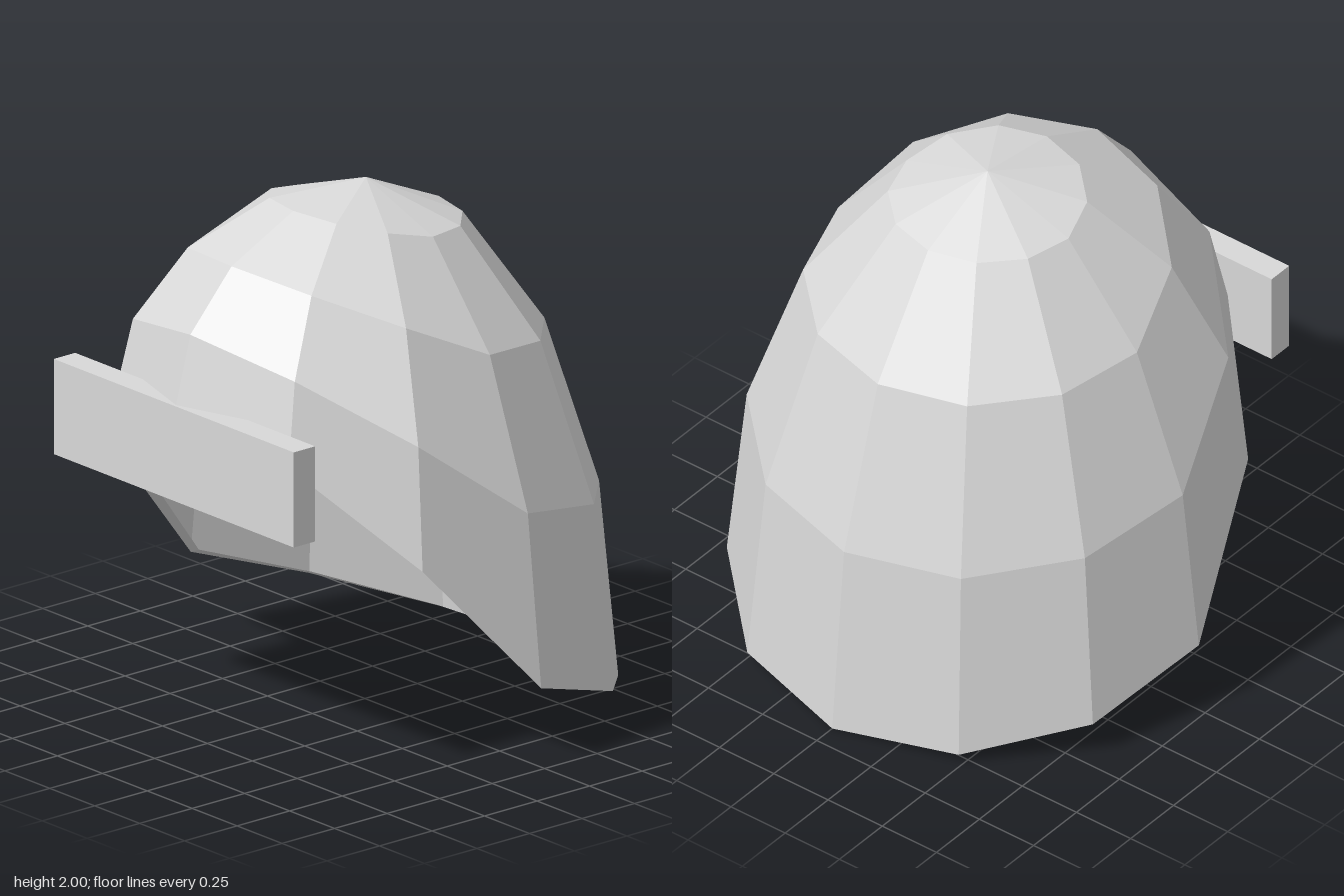
import * as THREE from 'three';

const SIDES = 12;
const BANDS = 4;

// Height of the open rim: high over the face, low over the neck
function rimHeight(phi) {
  const c = Math.cos(phi);
  return 0.3 + (c > 0 ? 1.03 : 0.3) * c;
}

// Corner of the dome at a ring and side, set in by `inset` at the rim lip
function domePoint(ring, side, inset) {
  const phi = (side / SIDES) * Math.PI * 2;
  const t = (ring / BANDS) * Math.PI / 2;
  const rim = rimHeight(phi);
  return new THREE.Vector3(
    (0.975 - inset) * Math.sin(t) * Math.sin(phi),
    rim + inset * 0.45 + (2 - rim) * Math.cos(t),
    (0.905 - inset) * Math.sin(t) * Math.cos(phi) - 0.005,
  );
}

// Joins [ring, inset] cross-sections with facets that each have one normal
function loftRings(rings) {
  const positions = [];
  const normals = [];
  const triangle = (normal, ...corners) => {
    for (const p of corners) {
      positions.push(p.x, p.y, p.z);
      normals.push(normal.x, normal.y, normal.z);
    }
  };
  for (let i = 0; i < rings.length - 1; i++) {
    const [r0, s0] = rings[i];
    const [r1, s1] = rings[i + 1];
    for (let j = 0; j < SIDES; j++) {
      const a = domePoint(r0, j, s0);
      const b = domePoint(r1, j, s1);
      const c = domePoint(r1, j + 1, s1);
      const d = domePoint(r0, j + 1, s0);
      const n = c.clone().sub(a).cross(d.clone().sub(b)).normalize();
      if (r0 === 0) {
        triangle(n, a, b, c);
      } else if (a.distanceTo(c) < b.distanceTo(d)) {
        // Split along the shorter diagonal, so both halves mirror
        triangle(n, a, b, c);
        triangle(n, a, c, d);
      } else {
        triangle(n, a, b, d);
        triangle(n, b, c, d);
      }
    }
  }
  const geo = new THREE.BufferGeometry();
  geo.setAttribute('position', new THREE.Float32BufferAttribute(positions, 3));
  geo.setAttribute('normal', new THREE.Float32BufferAttribute(normals, 3));
  return geo;
}

export function createModel() {
  const model = new THREE.Group();
  model.name = 'helmet';

  const grey = new THREE.MeshStandardMaterial({ color: 0xd8d8d8, side: THREE.DoubleSide });
  grey.name = 'light grey';

  const add = (name, geometry) => {
    const mesh = new THREE.Mesh(geometry, grey);
    mesh.name = name;
    model.add(mesh);
    return mesh;
  };

  // Thin faceted dome with a narrow lip turned in around its rim
  add('domeShell', loftRings([[0, 0], [1, 0], [2, 0], [3, 0], [4, 0]]));
  add('rimLip', loftRings([[BANDS, 0], [BANDS, 0.045]]));

  // Flat brow plate across the front
  const plate = add('browPlate', new THREE.BoxGeometry(1.335, 0.365, 0.102));
  plate.position.set(0, 1.15, 0.859);

  return model;
}
